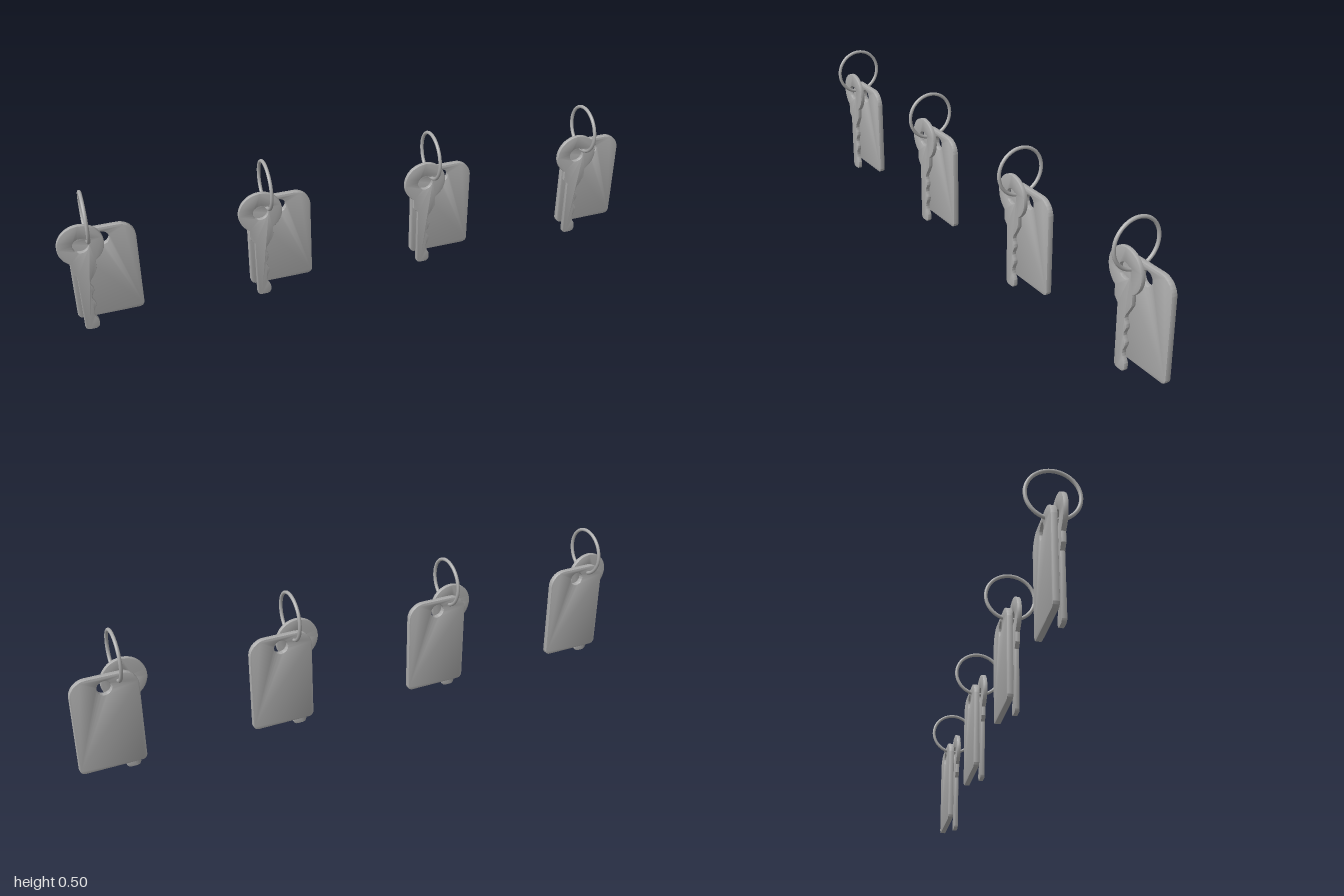
import * as THREE from 'three';
import { toCreasedNormals } from 'three/addons/utils/BufferGeometryUtils.js';

// Plate with softened edges whose outline size and z range are exact
function plate(shape, z0, z1, bevel) {
  const geo = new THREE.ExtrudeGeometry(shape, {
    depth: z1 - z0 - 2 * bevel, curveSegments: 16,
    bevelThickness: bevel, bevelSize: bevel, bevelOffset: -bevel, bevelSegments: 2,
  });
  geo.translate(0, 0, z0 + bevel);
  return toCreasedNormals(geo, 0.6);
}

function hole(x, y, r) {
  return new THREE.Path().absarc(x, y, r, 0, Math.PI * 2, true);
}

// Round bow, collar, straight back and wavy teeth
function keyGeometry() {
  const s = new THREE.Shape();
  s.absarc(0, 0.326, 0.074, -1, Math.PI + 1, false);
  s.lineTo(-0.04, 0.23);
  s.lineTo(-0.024, 0.212);
  s.lineTo(-0.024, 0.014);
  s.quadraticCurveTo(-0.022, 0, -0.008, 0);
  s.lineTo(0.01, 0);
  s.quadraticCurveTo(0.024, 0.002, 0.024, 0.018);
  const teeth = [[0.023, 0.032], [0.013, 0.052], [0.012, 0.068], [0.022, 0.096],
    [0.012, 0.124], [0.022, 0.152], [0.013, 0.18], [0.026, 0.205]];
  s.splineThru(teeth.map(([x, y]) => new THREE.Vector2(x, y)));
  s.lineTo(0.04, 0.23);
  s.holes.push(hole(0, 0.326, 0.026));
  return plate(s, 0.002, 0.017, 0.002);
}

// Tag with large top corners, small bottom corners and a hanging hole
function tagGeometry() {
  const l = -0.064, r = 0.154, b = 0.035, t = 0.368, R = 0.055, q = 0.018;
  const s = new THREE.Shape();
  s.moveTo(l + q, b);
  s.lineTo(r - q, b);
  s.absarc(r - q, b + q, q, -Math.PI / 2, 0, false);
  s.lineTo(r, t - R);
  s.absarc(r - R, t - R, R, 0, Math.PI / 2, false);
  s.lineTo(l + R, t);
  s.absarc(l + R, t - R, R, Math.PI / 2, Math.PI, false);
  s.lineTo(l, b + q);
  s.absarc(l + q, b + q, q, Math.PI, Math.PI * 1.5, false);
  s.holes.push(hole((l + r) / 2, 0.327, 0.024));
  return plate(s, -0.025, -0.005, 0.003);
}

export function createModel() {
  const model = new THREE.Group();
  model.name = 'keySets';
  const metal = new THREE.MeshStandardMaterial({ color: 0xaaaaaa });
  metal.name = 'grey metal';

  const keyGeo = keyGeometry();
  const tagGeo = tagGeometry();
  const ringGeo = new THREE.TorusGeometry(0.08, 0.006, 12, 48).rotateY(Math.PI / 2);

  // Four identical sets in a row
  for (let i = 0; i < 4; i++) {
    const set = new THREE.Group();
    set.name = 'keySet' + (i + 1);
    set.position.x = -0.902 + i * 0.5827;
    const parts = [['key', keyGeo, -0.024, 0], ['tag', tagGeo, 0, 0], ['ring', ringGeo, 0, 0.419]];
    for (const [name, geo, x, y] of parts) {
      const mesh = new THREE.Mesh(geo, metal);
      mesh.name = name;
      mesh.position.set(x, y, 0);
      set.add(mesh);
    }
    model.add(set);
  }
  return model;
}
